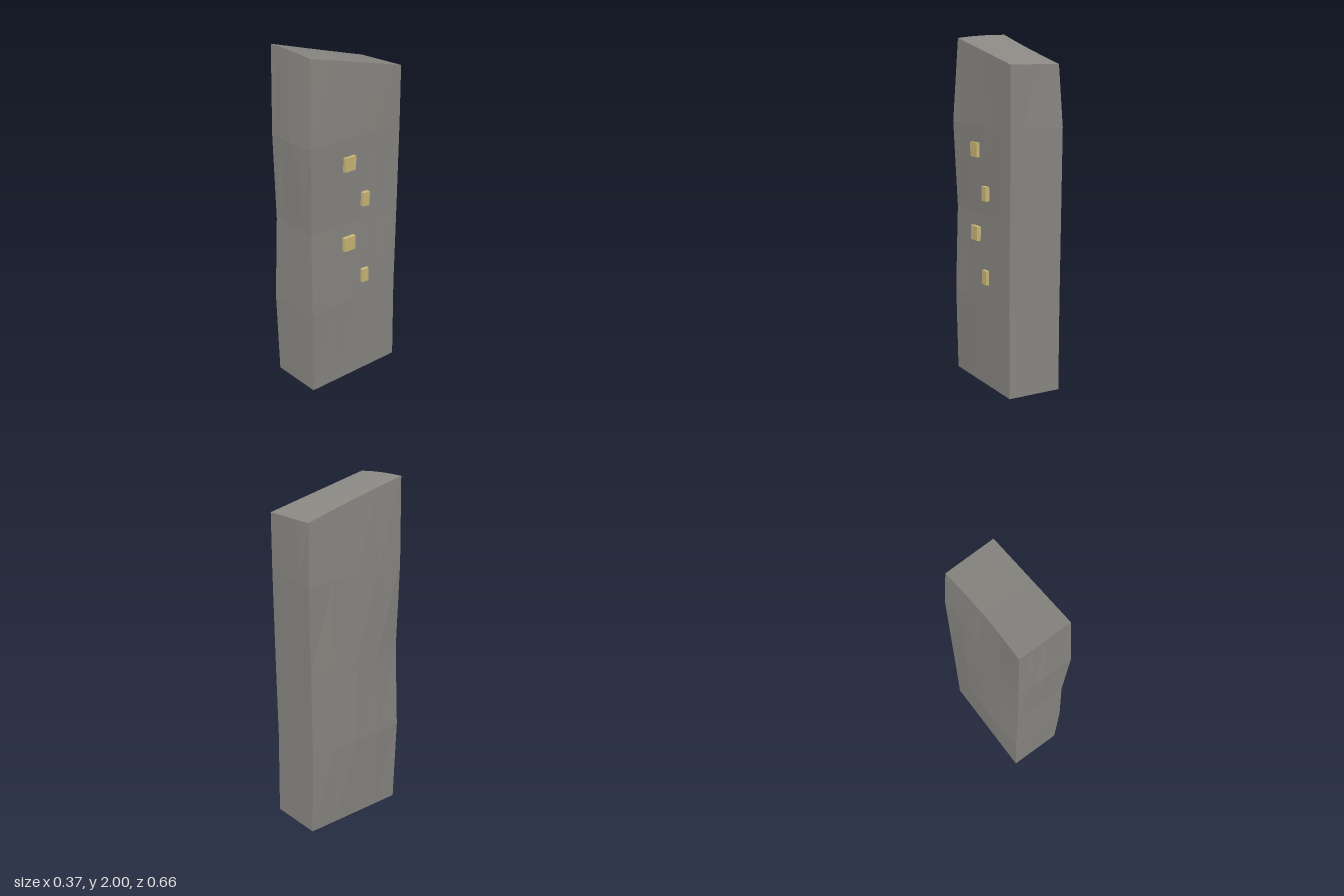
import * as THREE from 'three';

// Uneven slab outline at five heights: [x, z] of each corner, bottom to top
const frontLeft = [[-0.16, 0.313], [-0.171, 0.322], [-0.155, 0.312], [-0.165, 0.32], [-0.163, 0.313]];
const frontRight = [[0.16, 0.313], [0.168, 0.318], [0.155, 0.312], [0.174, 0.325], [0.15, 0.302]];
const backLeft = [[-0.16, -0.322], [-0.165, -0.317], [-0.165, -0.325], [-0.165, -0.333], [-0.147, -0.317]];
const backRight = [[0.16, -0.322], [0.16, -0.316], [0.16, -0.324], [0.16, -0.33], [0.16, -0.33]];
// Bulge of the left face at mid depth, and of the front face right of centre
const leftBulge = [0, 0.015, 0.018, 0, -0.01];
const frontBulge = [0, 0.002, 0, 0.008, 0.004];

const lerp = THREE.MathUtils.lerp;

function slabGeometry() {
  const geometry = new THREE.BoxGeometry(1, 1, 1, 4, 4, 4);
  const p = geometry.attributes.position;
  for (let i = 0; i < p.count; i++) {
    const u = p.getX(i) + 0.5;
    const v = p.getZ(i) + 0.5;
    const t = p.getY(i) + 0.5;
    const level = Math.round(t * 4);
    const blend = (k) => lerp(
      lerp(backLeft[level][k], backRight[level][k], u),
      lerp(frontLeft[level][k], frontRight[level][k], u), v);
    const x = blend(0) - leftBulge[level] * Math.sin(Math.PI * v) * (1 - u);
    const z = blend(1) + frontBulge[level] * Math.sin(Math.PI * u) * v;
    // The slanted top falls to the back and dips a little at the right front
    const top = lerp(1.84, 2 - 0.02 * u * u, v);
    p.setXYZ(i, x, level === 4 ? top : level * 0.5, z);
  }
  geometry.computeVertexNormals();
  return geometry;
}

export function createModel() {
  const stone = new THREE.MeshStandardMaterial({ color: 0x8a8883, flatShading: true });
  stone.name = 'grey stone';
  const gold = new THREE.MeshStandardMaterial({ color: 0xcbb878, flatShading: true });
  gold.name = 'pale gold';

  const group = new THREE.Group();
  group.name = 'standingStone';

  const slab = new THREE.Mesh(slabGeometry(), stone);
  slab.name = 'slab';
  group.add(slab);

  // Staggered inlaid blocks on the right face: [y, z, width]
  const blocks = [[1.36, 0.053, 0.078], [1.122, -0.067, 0.046], [0.88, 0.053, 0.078], [0.642, -0.067, 0.046]];
  blocks.forEach(([y, z, width], i) => {
    const block = new THREE.Mesh(new THREE.BoxGeometry(0.04, 0.082, width), gold);
    block.name = `inlay${i + 1}`;
    block.position.set(0.163, y, z);
    group.add(block);
  });
  return group;
}
